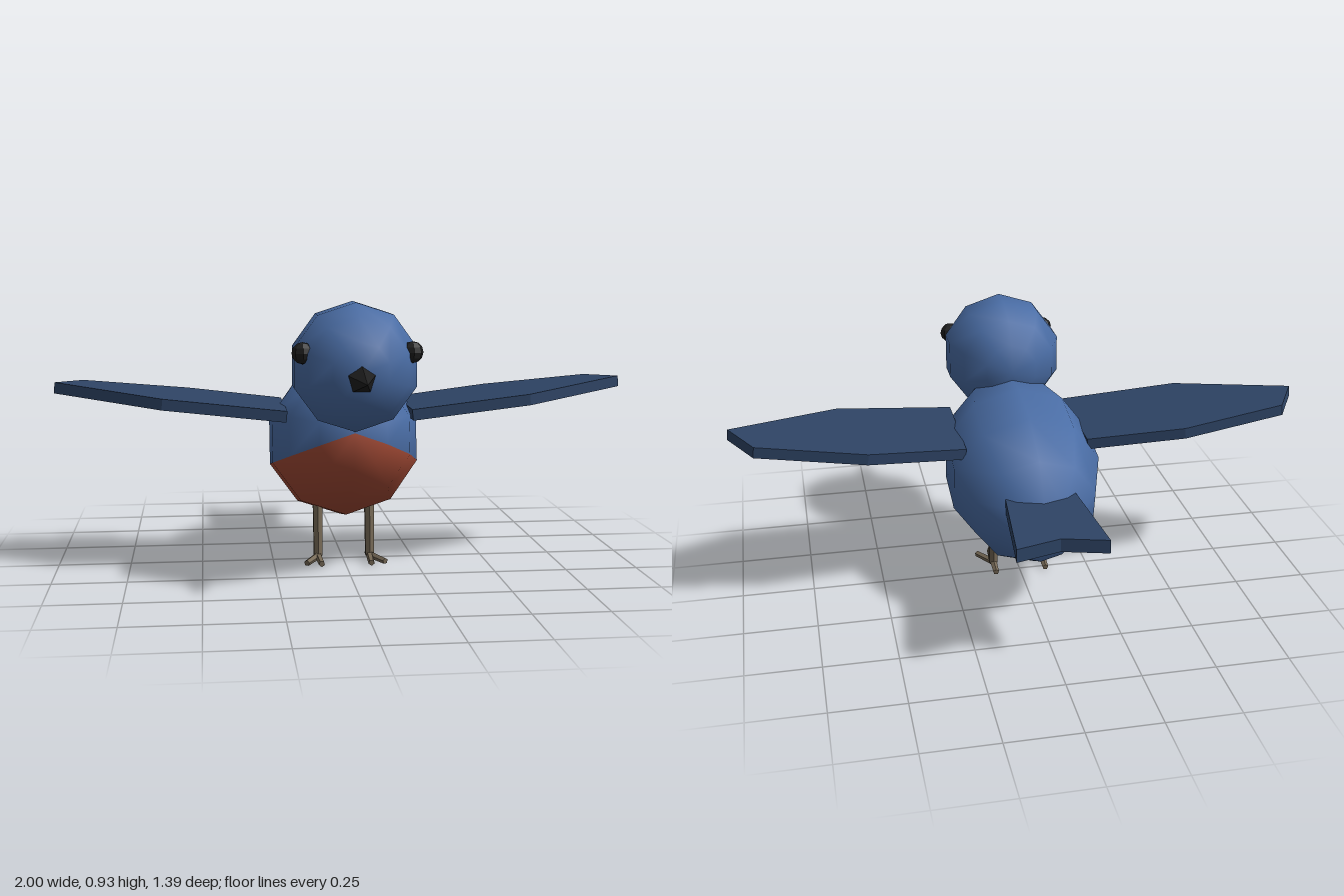
import * as THREE from 'three';
import { mergeGeometries } from 'three/addons/utils/BufferGeometryUtils.js';

const material = (name, color) => {
  const m = new THREE.MeshStandardMaterial({ color });
  m.name = name;
  return m;
};

// Part of a sphere with its poles on z: 10 segments around, 7 rings along.
const SEG = Math.PI / 5, RING = Math.PI / 7;
function lowSphere(seg0, segs, ring0, rings) {
  return new THREE.SphereGeometry(1, segs, rings,
    Math.PI / 10 + seg0 * SEG, segs * SEG, ring0 * RING, rings * RING).rotateX(Math.PI / 2);
}

// Facet a geometry so every face is flat.
function flat(geometry) {
  const g = geometry.toNonIndexed();
  g.computeVertexNormals();
  return g;
}

// Horizontal plate from [x, z] outline points.
function plate(points, thickness) {
  const shape = new THREE.Shape(points.map(([x, z]) => new THREE.Vector2(x, -z)));
  return new THREE.ExtrudeGeometry(shape, { depth: thickness, bevelEnabled: false }).rotateX(-Math.PI / 2);
}

// Thin faceted rod between two points.
function rod(a, b, r0, r1, sides) {
  const from = new THREE.Vector3(...a), to = new THREE.Vector3(...b);
  const dir = to.clone().sub(from);
  const g = new THREE.CylinderGeometry(r1, r0, dir.length(), sides);
  g.applyQuaternion(new THREE.Quaternion().setFromUnitVectors(new THREE.Vector3(0, 1, 0), dir.normalize()));
  const mid = from.add(to).multiplyScalar(0.5);
  return flat(g.translate(mid.x, mid.y, mid.z));
}

export function createModel() {
  const model = new THREE.Group();
  model.name = 'bird';
  const blue = material('plumage blue', 0x4a6da5);
  const navy = material('wing blue', 0x2e4465);
  const rust = material('breast rust', 0xa34a35);
  const black = material('beak black', 0x1e1e1e);
  const tan = material('leg brown', 0x766956);
  const add = (name, geometry, mat, parent = model) => {
    const mesh = new THREE.Mesh(geometry, mat);
    mesh.name = name;
    parent.add(mesh);
    return mesh;
  };

  // Tilted egg body: blue back and rump, rust breast below
  const shapeBody = (g) => g.scale(0.273, 0.275, 0.414).rotateX(-0.2).translate(0, 0.43, -0.03);
  add('back', shapeBody(mergeGeometries([lowSphere(4, 6, 0, 7), lowSphere(0, 4, 5, 2)])), blue);
  add('breast', shapeBody(lowSphere(0, 4, 0, 5)), rust);

  // Head
  add('head', lowSphere(0, 10, 0, 7).scale(0.214, 0.214, 0.22).translate(0, 0.727, 0.34), blue);

  // Five-sided beak with a ridge on top
  const beak = new THREE.ConeGeometry(0.05, 0.16, 5).rotateY(Math.PI).rotateX(Math.PI / 2);
  add('beak', flat(beak.translate(0, 0.705, 0.613)), black);

  // Notched tail
  add('tail', plate([[-0.115, -0.32], [0.115, -0.32], [0.148, -0.695], [0, -0.655], [-0.148, -0.695]], 0.046)
    .translate(0, 0.432, 0), navy);

  const wing = [[0.215, 0.235], [0.63, 0.2], [1.004, 0], [0.92, -0.145], [0.55, -0.193], [0.215, -0.14]];
  for (const side of [1, -1]) {
    const label = side > 0 ? 'left' : 'right';

    // Raised wing
    add(label + 'Wing', plate(wing.map(([x, z]) => [side * x, z]), 0.038)
      .rotateZ(side * 0.102).translate(0, 0.508, 0), navy);

    // Eye
    add(label + 'Eye', flat(new THREE.SphereGeometry(0.035, 8, 6)).translate(side * 0.175, 0.78, 0.442), black);

    // Leg with two front toes and one back toe
    const leg = new THREE.Group();
    leg.name = label + 'Leg';
    model.add(leg);
    const ankle = [side * 0.092, 0.022, 0.035];
    add('shank', rod([side * 0.092, 0.21, 0.018], ankle, 0.019, 0.017, 6), tan, leg);
    for (const [x, y, z] of [[0.138, 0.016, 0.115], [0.087, 0.016, 0.134], [0.092, 0.012, -0.028]]) {
      add('toe', rod(ankle, [side * x, y, z], 0.013, 0.011, 5), tan, leg);
    }
  }
  return model;
}
